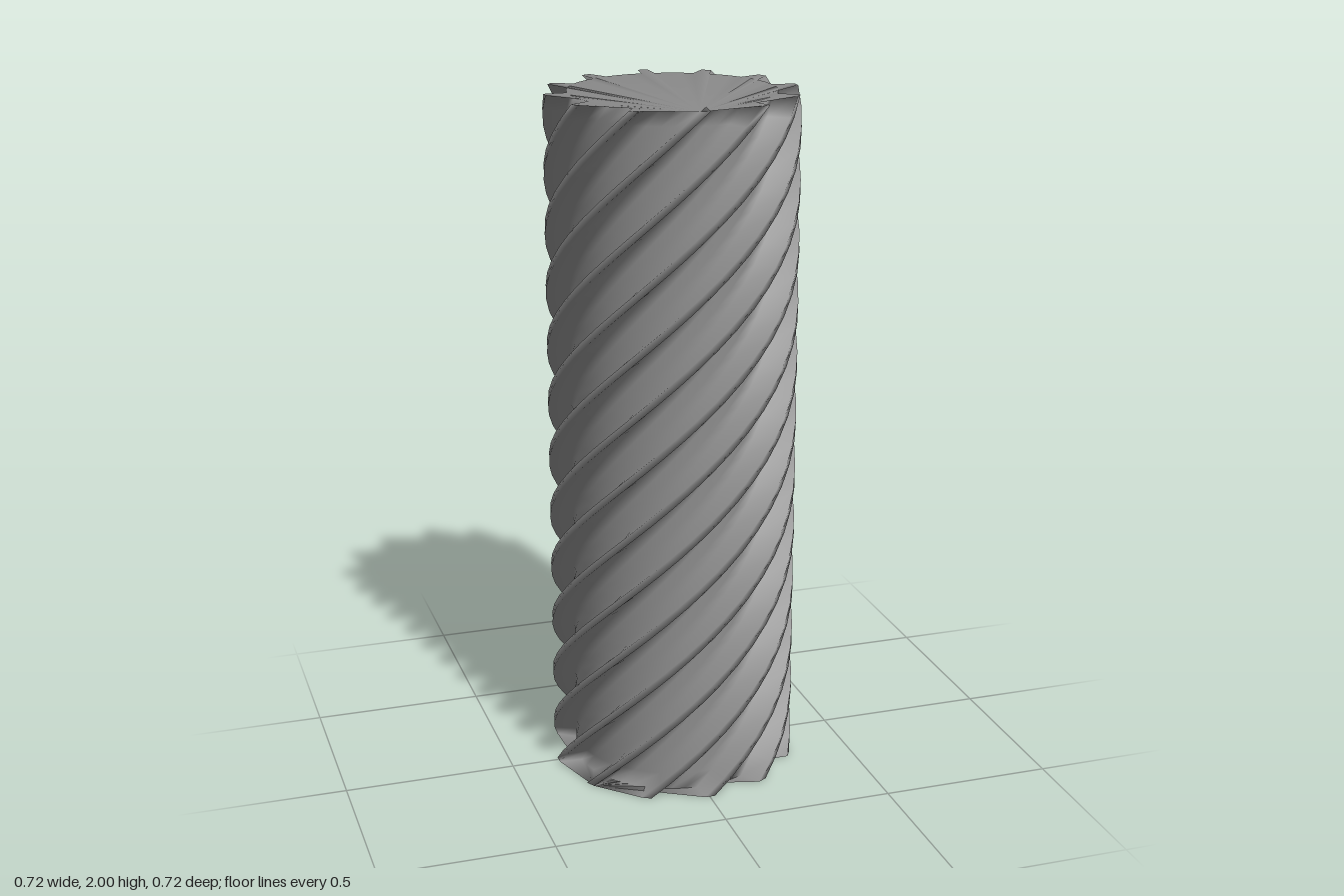
import * as THREE from 'three';

const TEETH = 12, HEIGHT = 2, LAYERS = 40;
const TWIST = THREE.MathUtils.degToRad(356);
const R_TIP = 0.359, R_ROOT = 0.293;

// one tooth and the groove after it: [angle in degrees, radius]
const TOOTH = [
  [-6.1, R_TIP], [-1.5, R_TIP],
  [0, R_ROOT], [7.5, R_ROOT], [15, R_ROOT], [22.4, R_ROOT],
];

function helicalGear() {
  const profile = [];
  for (let t = 0; t < TEETH; t++) {
    for (const [deg, r] of TOOTH) {
      profile.push([THREE.MathUtils.degToRad(deg + t * 360 / TEETH), r]);
    }
  }
  const n = profile.length;
  const positions = [], index = [];

  // stacked copies of the profile, each turned a little further
  for (let j = 0; j <= LAYERS; j++) {
    const f = j / LAYERS;
    for (const [angle, r] of profile) {
      const a = angle + TWIST * (f - 1);
      positions.push(r * Math.sin(a), HEIGHT * f, r * Math.cos(a));
    }
  }

  // twisted side wall
  for (let j = 0; j < LAYERS; j++) {
    for (let i = 0; i < n; i++) {
      const k = (i + 1) % n;
      const a = j * n + i, b = j * n + k, c = a + n, d = b + n;
      index.push(a, b, d, a, d, c);
    }
  }

  // end caps, each fanned from a single tooth tip
  const top = LAYERS * n;
  const start = n - 2 * TOOTH.length + 1; // lower fan begins two teeth earlier
  for (let i = 1; i < n - 1; i++) {
    index.push(top, top + i, top + i + 1);
    index.push(start, (start + i + 1) % n, (start + i) % n);
  }

  // normals run smoothly from the wall into the caps
  const geometry = new THREE.BufferGeometry();
  geometry.setAttribute('position', new THREE.Float32BufferAttribute(positions, 3));
  geometry.setIndex(index);
  geometry.computeVertexNormals();
  return geometry;
}

export function createModel() {
  const group = new THREE.Group();
  group.name = 'twistedGearColumn';
  const material = new THREE.MeshStandardMaterial({ color: 0x8c8c8c });
  const column = new THREE.Mesh(helicalGear(), material);
  column.name = 'helicalGear';
  group.add(column);
  return group;
}
